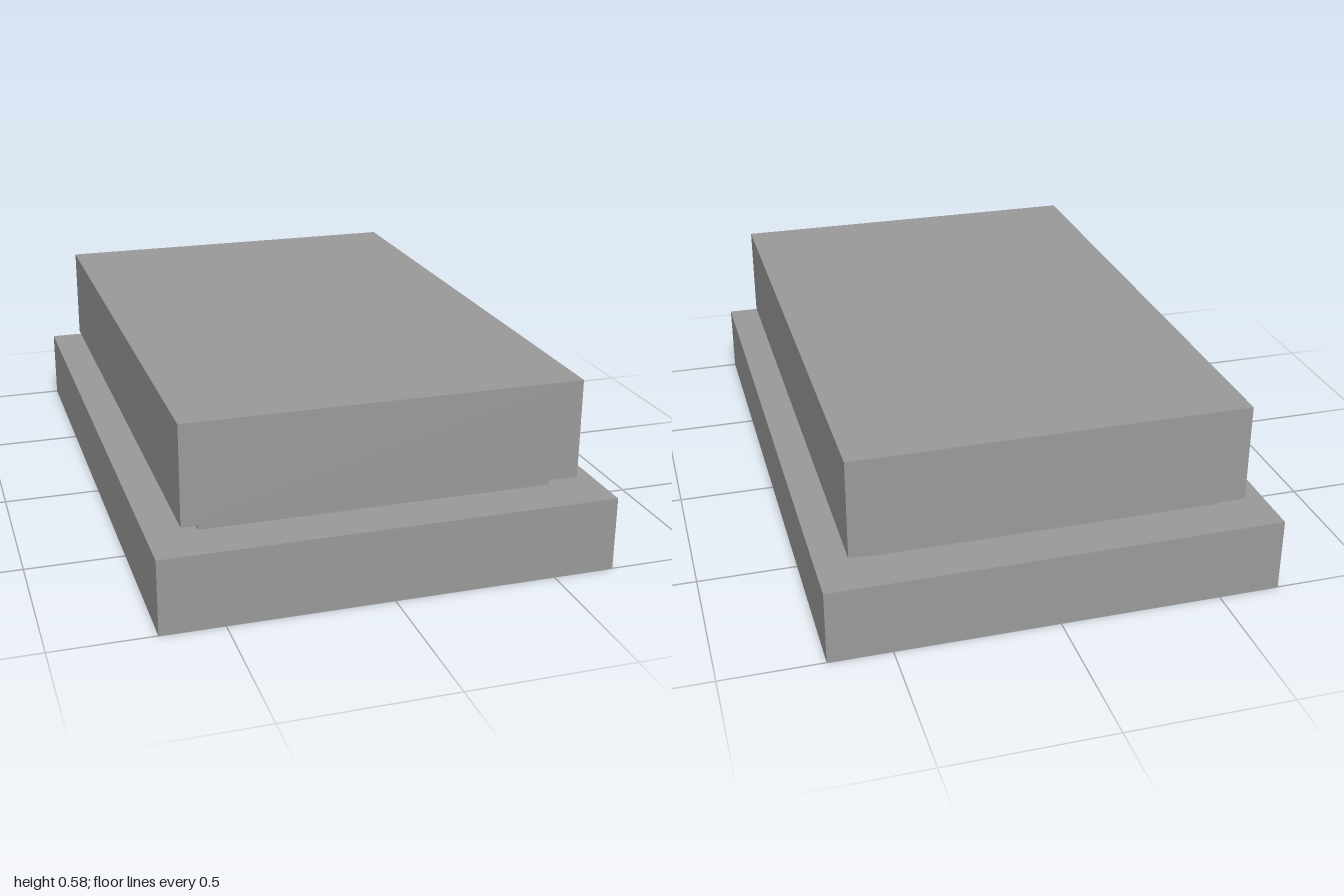
import * as THREE from 'three';

export function createModel() {
  const group = new THREE.Group();
  const material = new THREE.MeshStandardMaterial({ color: 0x9a9a9a, flatShading: true });

  // Stacked slabs: name, width, depth, bottom, top
  const slabs = [
    ['base', 1.383, 2, 0, 0.23],
    ['recessedNeck', 1.08, 1.7, 0.23, 0.272],
    ['upperBlock', 1.203, 1.814, 0.272, 0.578],
  ];
  for (const [name, width, depth, bottom, top] of slabs) {
    const mesh = new THREE.Mesh(new THREE.BoxGeometry(width, top - bottom, depth), material);
    mesh.name = name;
    mesh.position.y = (bottom + top) / 2;
    group.add(mesh);
  }
  return group;
}
